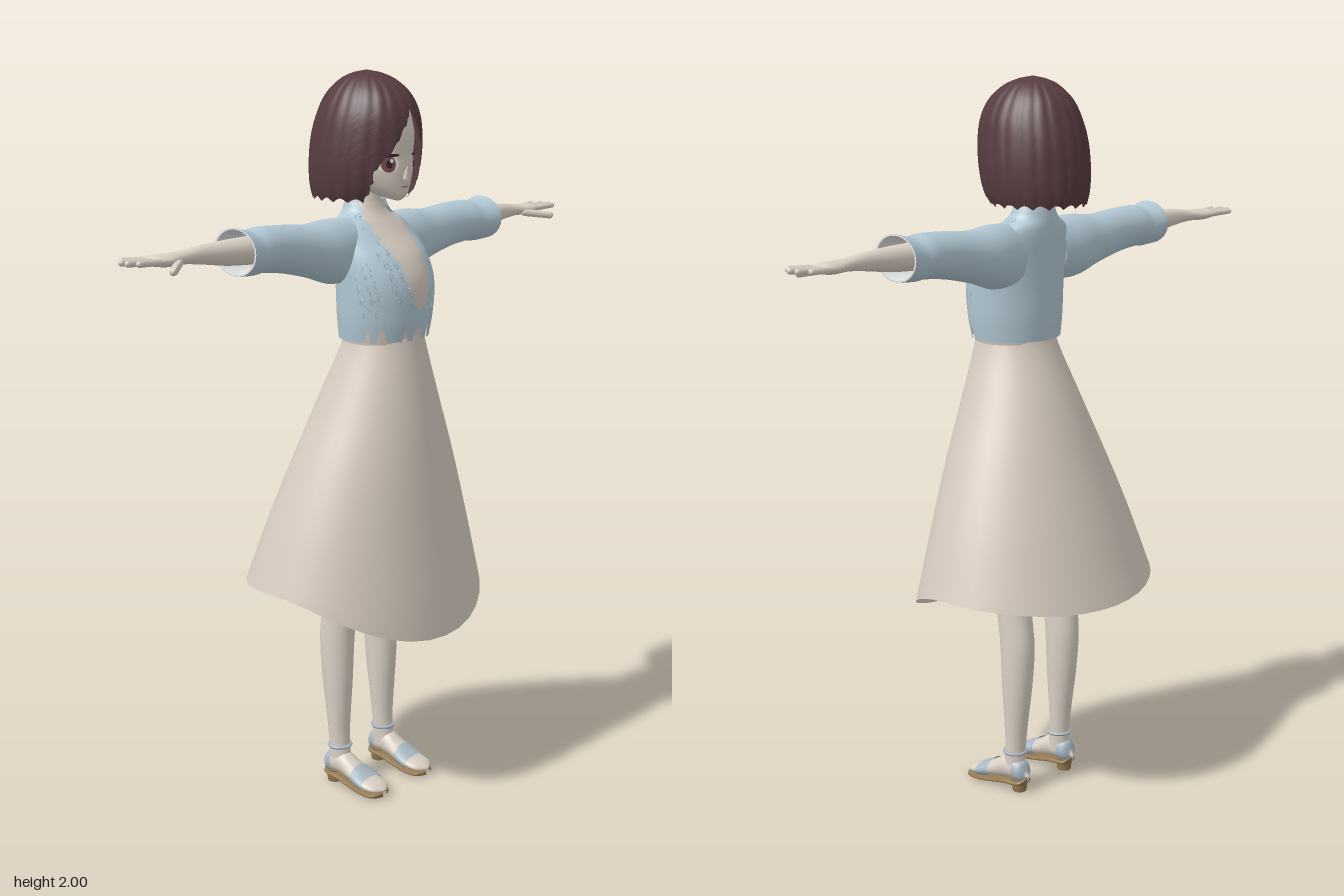
import * as THREE from 'three';
import { mergeVertices } from 'three/addons/utils/BufferGeometryUtils.js';

const TAU = Math.PI * 2;
const mat = (name, color, double) => {
  const m = new THREE.MeshStandardMaterial({ color });
  m.name = name;
  if (double) m.side = THREE.DoubleSide;
  return m;
};

// Smooth interpolation of rows [t, a, b, ...] at t
function at(keys, t) {
  const last = keys.length - 1;
  let i = 0;
  while (i < last - 1 && t > keys[i + 1][0]) i++;
  const k0 = keys[Math.max(i - 1, 0)], k1 = keys[i], k2 = keys[i + 1], k3 = keys[Math.min(i + 2, last)];
  const h = k2[0] - k1[0], s = THREE.MathUtils.clamp((t - k1[0]) / h, 0, 1);
  return k1.slice(1).map((p, j) => {
    const q = k2[j + 1];
    const m1 = (q - k0[j + 1]) / (k2[0] - k0[0]) * h, m2 = (k3[j + 1] - p) / (k3[0] - k1[0]) * h;
    const s2 = s * s, s3 = s2 * s;
    return (2 * s3 - 3 * s2 + 1) * p + (s3 - 2 * s2 + s) * m1 + (3 * s2 - 2 * s3) * q + (s3 - s2) * m2;
  });
}

// Grid surface from fn(u, v) -> [x, y, z]
function surface(nu, nv, fn) {
  const pos = [], idx = [];
  for (let j = 0; j <= nv; j++) for (let i = 0; i <= nu; i++) pos.push(...fn(i / nu, j / nv));
  for (let j = 0; j < nv; j++) for (let i = 0; i < nu; i++) {
    const a = j * (nu + 1) + i, b = a + 1, c = a + nu + 1, d = c + 1;
    idx.push(a, b, d, a, d, c);
  }
  let g = new THREE.BufferGeometry();
  g.setAttribute('position', new THREE.Float32BufferAttribute(pos, 3));
  g.setIndex(idx);
  g = mergeVertices(g, 1e-5);
  g.computeVertexNormals();
  return g;
}

// Point on an upright body, rows [y, halfWidth, zFront, zBack], angle 0 at the front
function ringPoint(keys, y, a, grow = 0) {
  const [rx, zf, zb] = at(keys, y);
  return [(rx + grow) * Math.sin(a), y, (zf + zb) / 2 + ((zf - zb) / 2 + grow) * Math.cos(a)];
}
const column = (keys, nu, nv, grow = 0) => {
  const y0 = keys[0][0], y1 = keys[keys.length - 1][0];
  return surface(nu, nv, (u, v) => ringPoint(keys, y0 + (y1 - y0) * v, u * TAU, grow));
};
// Limb along x, rows [x, yLow, yHigh, zBack, zFront]
const limb = (keys, nu, nv, scale = 1) => surface(nu, nv, (u, v) => {
  const x = THREE.MathUtils.lerp(keys[0][0], keys[keys.length - 1][0], v);
  const [lo, hi, zb, zf] = at(keys, x), a = u * TAU;
  return [x, (lo + hi) / 2 + scale * (hi - lo) / 2 * Math.cos(a), (zb + zf) / 2 + scale * (zf - zb) / 2 * Math.sin(a)];
});
// Foot slice along z, rows [z, yLow, yHigh, halfWidth]
const FOOT = [[-.05, .045, .06, .006], [-.04, .035, .085, .022], [.015, .03, .1, .03], [.06, .022, .075, .035],
  [.11, .016, .048, .041], [.15, .014, .034, .032], [.165, .018, .024, .004]];
const footSlice = (z0, z1, nv, grow) => surface(16, nv, (u, v) => {
  const z = z0 + (z1 - z0) * v, [lo, hi, w] = at(FOOT, z), a = u * TAU;
  return [.097 - (w + grow) * Math.sin(a), (lo + hi) / 2 + ((hi - lo) / 2 + grow) * Math.cos(a), z];
});
// Rounded rod between two points
function rod(p, q, r) {
  const a = new THREE.Vector3(...p), b = new THREE.Vector3(...q), d = b.clone().sub(a);
  const g = new THREE.CapsuleGeometry(r, d.length() - r, 4, 8);
  g.applyQuaternion(new THREE.Quaternion().setFromUnitVectors(new THREE.Vector3(0, 1, 0), d.normalize()));
  const c = a.add(b).multiplyScalar(.5);
  return g.translate(c.x, c.y, c.z);
}
function mirrored(geo) {
  const g = geo.clone().scale(-1, 1, 1), ix = g.index.array;
  for (let i = 0; i < ix.length; i += 3) [ix[i], ix[i + 1]] = [ix[i + 1], ix[i]];
  g.computeVertexNormals();
  return g;
}

const HEAD = [[1.664, .004, .128, .118], [1.672, .028, .14, .075], [1.7, .062, .147, .0], [1.74, .09, .15, -.07],
  [1.78, .101, .148, -.1], [1.85, .106, .15, -.115], [1.92, .085, .115, -.09], [1.965, .004, .01, -.002]];
const HAIR = [[1.66, .122, .125, -.138], [1.7, .134, .148, -.147], [1.76, .139, .163, -.149], [1.83, .134, .17, -.143],
  [1.89, .122, .164, -.125], [1.94, .098, .14, -.1], [1.975, .066, .098, -.062], [1.993, .034, .055, -.025], [2, .002, .016, .012]];
const TORSO = [[1.29, .128, .186, -.036], [1.36, .138, .198, -.04], [1.45, .143, .2, -.042], [1.52, .144, .168, -.045],
  [1.57, .138, .12, -.047], [1.605, .115, .09, -.047], [1.63, .074, .07, -.045], [1.66, .058, .06, -.04]];
const SKIRT = [[.48, .42, .302, -.335], [.6, .378, .288, -.29], [.8, .31, .26, -.222], [.97, .243, .238, -.16],
  [1.13, .174, .214, -.1], [1.3, .11, .184, -.03], [1.36, .105, .175, -.025]];
const LEG = [[.06, .028, .035, -.035], [.12, .029, .024, -.034], [.2, .033, .026, -.042], [.32, .04, .034, -.058],
  [.44, .043, .04, -.066], [.55, .042, .055, -.055], [.7, .05, .075, -.05], [1.15, .06, .11, -.03]];
const SLEEVE = [[.08, 1.45, 1.618, -.04, .09], [.16, 1.45, 1.622, -.052, .088], [.24, 1.475, 1.615, -.048, .076],
  [.34, 1.498, 1.622, -.046, .072], [.43, 1.508, 1.624, -.05, .078], [.45, 1.505, 1.618, -.048, .08], [.505, 1.508, 1.63, -.056, .092]];
const ARM = [[.4, 1.53, 1.606, -.024, .056], [.52, 1.537, 1.603, -.02, .046], [.62, 1.551, 1.597, -.013, .032],
  [.68, 1.557, 1.59, -.016, .03], [.73, 1.556, 1.588, -.03, .04], [.77, 1.562, 1.586, -.032, .034], [.782, 1.57, 1.578, -.02, .02]];

// Thin patch laid over the face
function facePatch(cx, cy, rx, ry, lift) {
  const g = new THREE.RingGeometry(.001, 1, 24, 4).scale(rx, ry, 1).translate(cx, cy, 0), p = g.attributes.position;
  for (let i = 0; i < p.count; i++) {
    const [w, zf, zb] = at(HEAD, p.getY(i)), s = Math.min(Math.abs(p.getX(i)) / w, 1);
    p.setZ(i, (zf + zb) / 2 + (zf - zb) / 2 * Math.sqrt(1 - s * s) + lift);
  }
  g.computeVertexNormals();
  return g;
}

export function createModel() {
  const model = new THREE.Group();
  model.name = 'girl';
  const skin = mat('skin', 0xdbd1c5), cloth = mat('dressCloth', 0xd8ccc0, true), blue = mat('jacketBlue', 0xb3c9d5, true);
  const hairMat = mat('hairBrown', 0x573c3f, true), white = mat('white', 0xeceeee, true), iris = mat('irisBrown', 0x7a4c4c);
  const dark = mat('lashDark', 0x35262a), soleMat = mat('soleTan', 0x93784f), strap = mat('shoeBlue', 0xaab9c4, true), lip = mat('lipPink', 0xb58a82);
  const add = (name, geo, m) => {
    const mesh = new THREE.Mesh(geo, m);
    mesh.name = name;
    model.add(mesh);
  };
  const pair = (name, geo, m) => {
    add('left' + name, geo, m);
    add('right' + name, mirrored(geo), m);
  };

  // Head and neck
  add('head', column(HEAD, 32, 32), skin);
  add('neck', new THREE.CylinderGeometry(.034, .046, .17, 20).translate(0, 1.64, .015), skin);
  add('nose', new THREE.ConeGeometry(.011, .036, 8).rotateX(.3).translate(0, 1.741, .152), skin);
  add('mouth', facePatch(0, 1.702, .015, .003, .002), lip);
  pair('EyeWhite', facePatch(.05, 1.763, .025, .021, .001), white);
  pair('Iris', facePatch(.05, 1.762, .016, .021, .002), iris);
  pair('Pupil', facePatch(.05, 1.762, .007, .011, .003), dark);
  pair('EyeGlint', facePatch(.045, 1.771, .004, .005, .004), white);
  pair('UpperLash', facePatch(.052, 1.785, .028, .0045, .0035), dark);

  // Bobbed hair with a parted fringe and fine strand ridges
  const part = [[1.655, .088], [1.7, .09], [1.75, .088], [1.79, .062], [1.84, .032], [1.905, 0], [1.95, 0], [2, 0]];
  add('hair', surface(120, 56, (u, v) => {
    const tip = .012 * Math.abs(Math.sin(u * 44));
    const y = 1.66 + tip * (1 - v) + (.34 - 0) * v * (1 - 0);
    const yy = Math.min(y, 2), w = Math.max(at(part, yy)[0], 0) + (yy < 1.88 ? .006 * ((yy * 28) % 1) : 0);
    const open = yy > 1.9 ? 0 : Math.asin(Math.min(w / at(HAIR, yy)[0], .95));
    const a = open + u * (TAU - 2 * open);
    return ringPoint(HAIR, yy, a, yy > 1.985 ? 0 : .003 * (Math.abs(Math.sin(a * 11)) - .6));
  }), hairMat);

  // Dress: bodice and skirt with a dipping hem
  add('bodice', column(TORSO, 40, 24, -.007), cloth);
  add('skirt', surface(40, 20, (u, v) => {
    const a = u * TAU, c = Math.cos(a), hem = .632 - (c > 0 ? .142 : .036) * c * c;
    return ringPoint(SKIRT, hem + (1.35 - hem) * v, a);
  }), cloth);

  // Jacket with ragged opening and notched front hem
  const opening = [[1.29, 0], [1.37, 0], [1.4, .022], [1.48, .042], [1.56, .06], [1.61, .063], [1.66, .042]];
  const notches = [[0, .12], [.32, .05], [.85, .09], [1.15, .05]];
  add('jacket', surface(144, 60, (u, v) => {
    const a0 = u < .5 ? u * TAU : (1 - u) * TAU;
    const cut = notches.some(([c, w]) => Math.abs(a0 - c) < w) ? .034 : 0;
    const y = 1.298 + cut * (1 - v) + .362 * v;
    const w = y < 1.375 ? 0 : Math.max(at(opening, y)[0], 0) + .016 * ((y * 32) % 1) - .006;
    const open = Math.asin(THREE.MathUtils.clamp(w / at(TORSO, y)[0], 0, .9));
    return ringPoint(TORSO, y, open + u * (TAU - 2 * open), .002);
  }), blue);
  pair('Sleeve', limb(SLEEVE, 28, 28), blue);
  pair('SleeveLining', limb(SLEEVE.slice(3), 28, 8, .93), white);
  pair('CuffEdge', surface(28, 1, (u, v) => {
    const a = u * TAU, s = 1 - .07 * v;
    return [.505, 1.569 + .061 * s * Math.cos(a), .018 + .074 * s * Math.sin(a)];
  }), white);

  // Arms, fingers and thumbs
  pair('Arm', limb(ARM, 20, 30), skin);
  [[-.025, -.038, .83], [-.008, -.014, .852], [.01, .012, .855], [.027, .036, .84]].forEach(([z0, z1, x], i) =>
    pair('Finger' + (i + 1), rod([.755, 1.573, z0], [x, 1.577, z1], .0085), skin));
  pair('Thumb', rod([.7, 1.566, .026], [.772, 1.555, .08], .0105), skin);

  // Legs, feet and sandals
  pair('Leg', column(LEG, 24, 30).translate(.095, 0, 0), skin);
  pair('Foot', footSlice(-.05, .165, 24, 0), skin);
  pair('ToeStrap', footSlice(.07, .115, 8, .004), strap);
  pair('HeelStrap', footSlice(-.049, -.015, 6, .004), strap);
  pair('AnkleStrap', new THREE.TorusGeometry(.031, .005, 6, 24).rotateX(Math.PI / 2).translate(.095, .115, -.004), strap);
  pair('Sole', surface(16, 24, (u, v) => {
    const z = -.05 + .215 * v, [lo, , w] = at(FOOT, z), a = u * TAU;
    return [.097 - (w + .004) * Math.sin(a), lo - .006 + .009 * Math.cos(a), z];
  }), soleMat);
  pair('Heel', new THREE.CylinderGeometry(.024, .02, .036, 16).translate(.097, .018, -.022), soleMat);
  return model;
}
